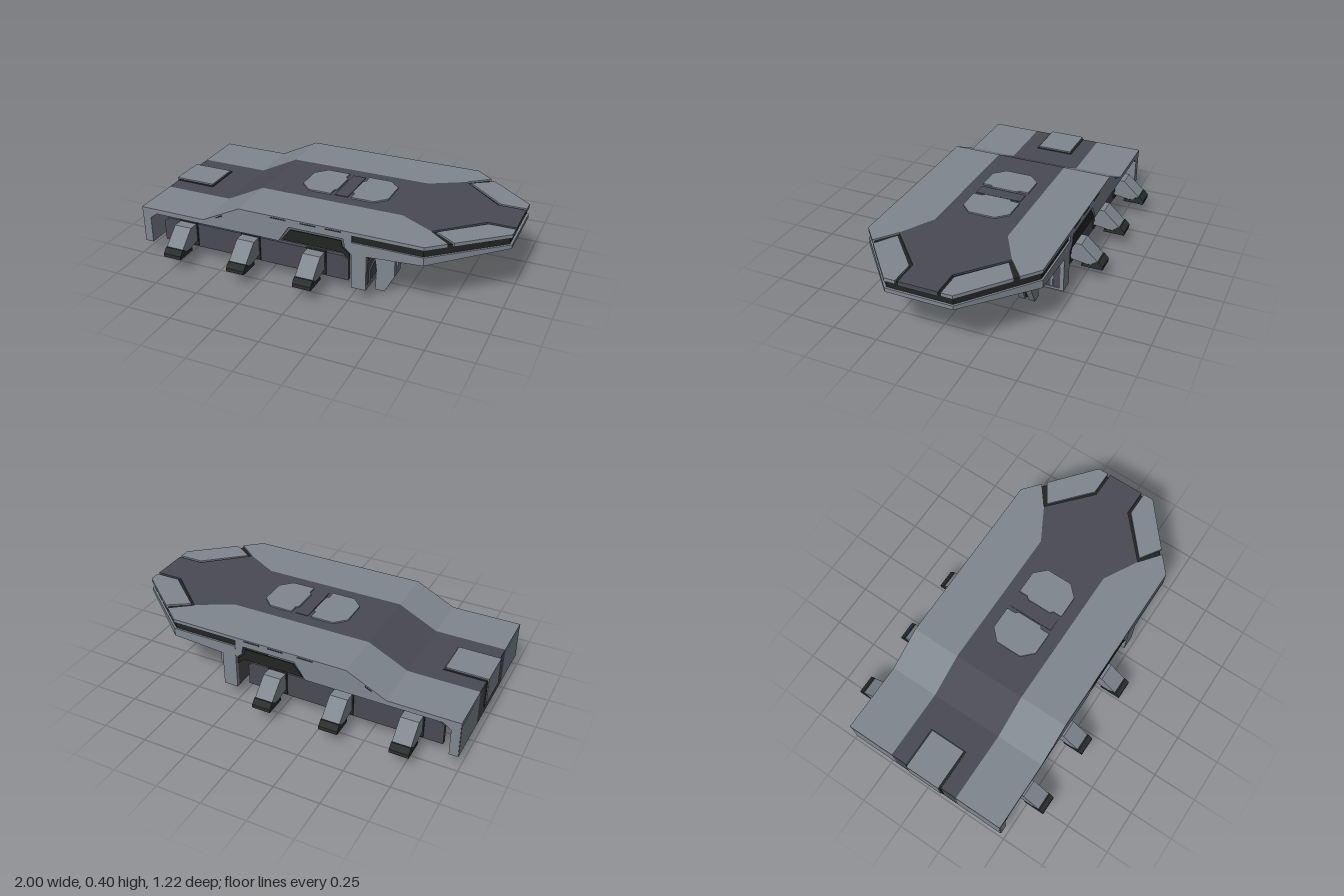
import * as THREE from 'three';

const mat = (name, color) => {
  const m = new THREE.MeshStandardMaterial({ color });
  m.name = name;
  return m;
};

export function createModel() {
  const root = new THREE.Group();
  root.name = 'landingPlatform';
  const light = mat('light grey', 0x7f878f);
  const purple = mat('purple grey', 0x4a4a54);
  const black = mat('black', 0x232522);
  const dark = mat('dark grey', 0x2c2e2e);

  const add = (name, geo, material, parent = root) => {
    const m = new THREE.Mesh(geo, material);
    m.name = name;
    parent.add(m);
    return m;
  };
  const box = (name, material, x0, x1, y0, y1, z0, z1) => {
    const g = new THREE.BoxGeometry(x1 - x0, y1 - y0, z1 - z0);
    g.translate((x0 + x1) / 2, (y0 + y1) / 2, (z0 + z1) / 2);
    return add(name, g, material);
  };
  const shapeOf = pts => new THREE.Shape(pts.map(p => new THREE.Vector2(p[0], p[1])));
  // side profile with a width, centred on its own plane
  const profile = (pts, width) => {
    const g = new THREE.ExtrudeGeometry(shapeOf(pts), { depth: width, bevelEnabled: false });
    return g.translate(0, 0, -width / 2);
  };
  // plan outline (x, z) whose lower and upper heights follow rules of x
  const slab = (name, material, pts, low, high) => {
    const g = new THREE.ExtrudeGeometry(shapeOf(pts.map(([x, z]) => [x, -z])), { depth: 1, bevelEnabled: false });
    g.rotateX(-Math.PI / 2);
    const p = g.attributes.position;
    for (let i = 0; i < p.count; i++) p.setY(i, (p.getY(i) > 0.5 ? high : low)(p.getX(i)));
    g.computeVertexNormals();
    return add(name, g, material);
  };
  const at = y => () => y;
  const mirrored = half => [...half, ...half.map(([x, z]) => [x, -z]).reverse()];

  // stepped deck: rear flat, ramp, raised front
  const deckY = x => 0.28 + 0.11 * THREE.MathUtils.clamp((x + 0.6) / 0.22, 0, 1);
  const under = d => x => deckY(x) - d;
  const cuts = [-0.99, -0.6, -0.38];
  for (let i = 0; i < 2; i++) {
    const [a, b] = [cuts[i], cuts[i + 1]];
    slab('deckCentre', purple, mirrored([[a, 0.205], [b, 0.205]]), under(0.02), deckY);
    for (const s of [1, -1])
      slab('deckSide', light, [[a, s * 0.205], [b, s * 0.205], [b, s * 0.48], [a, s * 0.48]], under(0.02), deckY);
    slab('ceiling', purple, mirrored([[a, 0.466], [b, 0.466]]), under(0.03), under(0.02));
  }
  slab('deckCentre', purple, mirrored([[-0.38, 0.205], [0.43, 0.205], [0.62, 0.31], [0.85, 0.105], [1, 0.105]]),
    at(0.365), at(0.39));
  slab('ceiling', purple, mirrored([[-0.38, 0.466], [0.26, 0.466]]), at(0.36), at(0.37));

  // nose: black groove layer, open-backed lower rim and recessed centre strip
  slab('noseGroove', black, mirrored([[0.26, 0.47], [0.635, 0.47], [0.988, 0.175]]), at(0.33), at(0.38));
  const rimOuter = mirrored([[0.26, 0.48], [0.64, 0.48], [1, 0.18]]);
  const rimInner = mirrored([[0.26, 0.41], [0.61, 0.41], [0.93, 0.14]]).reverse();
  slab('lowerRim', light, [...rimOuter, ...rimInner], x => 0.262 + (x - 0.26) * 0.065, at(0.332));
  slab('recessStrip', purple, mirrored([[0.36, 0.17], [0.62, 0.17], [0.72, 0.09], [0.93, 0.09]]), at(0.322), at(0.335));

  for (const s of [1, -1]) {
    const m = pts => pts.map(([x, z]) => [x, z * s]);
    slab('deckSide', light,
      m([[-0.38, 0.205], [0.43, 0.205], [0.62, 0.31], [0.735, 0.4], [0.64, 0.48], [-0.38, 0.48]]), at(0.37), at(0.39));
    slab('nosePlate', light, m([[0.645, 0.305], [0.76, 0.38], [1, 0.18], [1, 0.12], [0.86, 0.12]]), at(0.37), at(0.39));
    slab('noseUnderPlate', light, m([[0.66, 0.25], [0.72, 0.3], [0.9, 0.15], [0.9, 0.11], [0.82, 0.11]]), at(0.322), at(0.335));
    // thin outer wall with the window cutout
    const wall = profile([[-0.988, 0.07], [-0.94, 0.07], [-0.94, 0.22], [-0.9, 0.252], [-0.15, 0.252], [-0.09, 0.343],
      [0.215, 0.343], [0.222, 0.295], [0.26, 0.26], [0.26, 0.388], [-0.38, 0.388], [-0.6, 0.278], [-0.988, 0.278]], 0.012);
    add('sideWall', wall, light).position.z = s * 0.473;
    add('sideWindow', profile([[-0.135, 0.262], [0.21, 0.262], [0.25, 0.225], [0.25, 0.26], [0.208, 0.295],
      [0.203, 0.329], [-0.083, 0.329]], 0.006), black).position.z = s * 0.473;
    // small dark vents along the deck edge and ramp
    for (const x of [-0.15, 0.02, 0.16])
      box('edgeVent', dark, x - 0.045, x + 0.045, 0.376, 0.383, s * 0.4795 - 0.002, s * 0.4795 + 0.002);
    add('rampVent', profile([[-0.52, 0.305], [-0.485, 0.322], [-0.485, 0.33], [-0.52, 0.313]], 0.004), dark).position.z = s * 0.4795;
    // side skirt, set in under the deck edge
    add('sideSkirt', profile([[-0.89, 0.07], [0.22, 0.07], [0.22, 0.19], [0.195, 0.21], [-0.86, 0.21], [-0.89, 0.185]], 0.025),
      purple).position.z = s * 0.41;
    // sloped side clamps with dark feet
    for (const x of [-0.73, -0.345, 0.04]) {
      const clamp = new THREE.Group();
      clamp.name = 'sideClamp';
      clamp.position.x = x;
      clamp.rotation.y = -s * Math.PI / 2;
      root.add(clamp);
      add('clampStrut', profile([[0.415, 0.11], [0.54, 0.095], [0.585, 0.12], [0.485, 0.212], [0.415, 0.212]], 0.1), light, clamp);
      add('clampFoot', profile([[0.49, 0.08], [0.61, 0.08], [0.61, 0.1], [0.585, 0.126], [0.575, 0.126], [0.54, 0.1], [0.49, 0.096]], 0.104), dark, clamp);
      add('clampBacking', profile([[0.415, 0.08], [0.43, 0.08], [0.43, 0.216], [0.415, 0.216]], 0.112), dark, clamp);
    }
    // rear wall side and front wall end
    box('rearWallSide', light, -0.99, -0.94, 0.07, 0.27, s > 0 ? 0.205 : -0.475, s > 0 ? 0.475 : -0.205);
    box('frontWallEnd', light, 0.26, 0.34, 0.07, 0.28, s * 0.47 - 0.01, s * 0.47 + 0.01);
    box('frontWallSlot', dark, 0.33, 0.339, 0.085, 0.2, s * 0.145 - 0.014, s * 0.145 + 0.014);
  }
  box('rearWallCentre', purple, -0.99, -0.94, 0.07, 0.27, -0.205, 0.205);

  // rear pad wrapping over the edge
  box('padBorder', dark, -0.992, -0.76, 0.27, 0.284, -0.112, 0.112);
  box('padTop', light, -1, -0.767, 0.275, 0.292, -0.102, 0.102);
  box('padBackBorder', dark, -0.995, -0.98, 0.122, 0.28, -0.112, 0.112);
  box('padBack', light, -1, -0.98, 0.133, 0.285, -0.102, 0.102);

  // twin deck hatches with a bar between
  for (const s of [1, -1]) {
    const h = [[0.045, 0.07], [0.06, 0.085], [0.06, 0.135], [0.19, 0.135], [0.25, 0.075]].map(([x, z]) => [0.052 + s * x, z]);
    slab('hatch', light, mirrored(h), at(0.385), at(0.398));
  }
  box('hatchBar', purple, 0.015, 0.09, 0.385, 0.394, -0.13, 0.13);

  // front wall with trim and a dark recess above
  box('frontWall', purple, 0.26, 0.335, 0.07, 0.262, -0.46, 0.46);
  box('frontWallRecess', black, 0.265, 0.33, 0.262, 0.332, -0.41, 0.41);
  box('frontWallTopTrim', light, 0.33, 0.342, 0.215, 0.225, -0.46, 0.46);
  box('frontWallTopBand', dark, 0.33, 0.34, 0.225, 0.255, -0.46, 0.46);
  box('frontWallBottomTrim', light, 0.33, 0.34, 0.07, 0.083, -0.46, 0.46);

  // three front legs, each two rails around a black core
  const legSide = [[0.335, 0.265], [0.335, 0.2], [0.345, 0.12], [0.34, 0], [0.392, 0], [0.445, 0.1], [0.445, 0.215], [0.485, 0.268]];
  const legCore = [[0.335, 0.26], [0.345, 0.01], [0.385, 0.01], [0.432, 0.105], [0.432, 0.215], [0.465, 0.26]];
  const bracket = [[0.12, 0.09], [0.12, 0.162], [0.05, 0.185], [0.05, 0.173], [0.108, 0.153], [0.108, 0.09]];
  for (const z of [-0.3, 0, 0.3]) {
    for (const s of [1, -1]) {
      add('legRail', profile(legSide, 0.034), light).position.z = z + s * 0.027;
      const b = add('wallBracket', profile(bracket, 0.008), light);
      b.rotation.y = s * Math.PI / 2;
      b.position.set(0.336, 0, z);
    }
    add('legCore', profile(legCore, 0.03), black).position.z = z;
    box('legCollar', dark, 0.33, 0.4, 0.24, 0.275, z - 0.055, z + 0.055);
  }
  return root;
}
